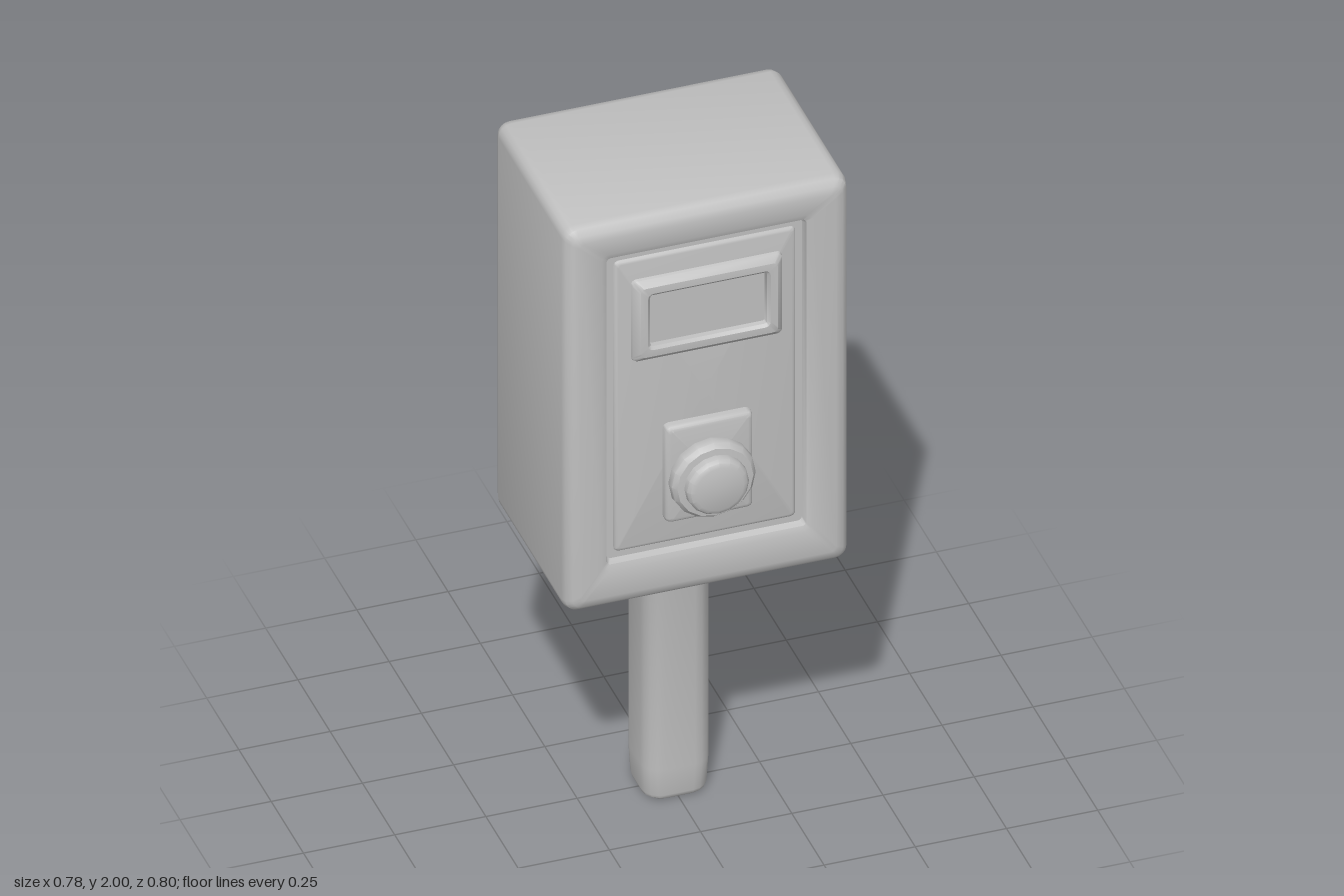
import * as THREE from 'three';
import { toCreasedNormals } from 'three/addons/utils/BufferGeometryUtils.js';

const CORNER = 4; // segments per rounded corner

// Rounded rectangle, counter-clockwise; ring = { hx, hy, r, z, cx, cy }
function ringPoints({ hx, hy, r, z, cx = 0, cy = 0 }) {
  const pts = [];
  const signs = [[1, 1], [-1, 1], [-1, -1], [1, -1]];
  signs.forEach(([sx, sy], q) => {
    for (let i = 0; i <= CORNER; i++) {
      const a = (q + i / CORNER) * Math.PI / 2;
      pts.push([cx + sx * (hx - r) + r * Math.cos(a), cy + sy * (hy - r) + r * Math.sin(a), z]);
    }
  });
  return pts;
}

// Closed skin through a list of rings, capped at both ends
function loft(rings) {
  const n = 4 * (CORNER + 1), pos = [], idx = [];
  rings.forEach(r => ringPoints(r).forEach(p => pos.push(...p)));
  const last = rings.length - 1, a = rings[0], b = rings[last];
  pos.push(a.cx ?? 0, a.cy ?? 0, a.z, b.cx ?? 0, b.cy ?? 0, b.z);
  const startCap = n * rings.length, endCap = startCap + 1;
  for (let i = 0; i < n; i++) {
    const j = (i + 1) % n;
    for (let k = 0; k < last; k++) {
      const o = k * n, p = o + n;
      idx.push(o + i, o + j, p + j, o + i, p + j, p + i);
    }
    idx.push(startCap, j, i, endCap, last * n + i, last * n + j);
  }
  const g = new THREE.BufferGeometry();
  g.setAttribute('position', new THREE.Float32BufferAttribute(pos, 3));
  g.setIndex(idx);
  return toCreasedNormals(g, 0.6);
}

// Rings of a rounded edge of size b; side -1 is the rear edge, +1 the front edge
function edge(ring, b, side) {
  const out = [];
  for (let i = 0; i <= 3; i++) {
    const a = (side < 0 ? 3 - i : i) / 3 * Math.PI / 2;
    const inset = b * (1 - Math.cos(a));
    out.push({
      ...ring, hx: ring.hx - inset, hy: ring.hy - inset,
      r: Math.max(ring.r - inset * 0.5, 0.004),
      z: ring.z - side * b * (1 - Math.sin(a)),
    });
  }
  return out;
}

export function createModel() {
  const model = new THREE.Group();
  const grey = new THREE.MeshStandardMaterial({ color: 0xc0c0c0 });
  grey.name = 'plain grey';
  const add = (name, geometry) => {
    const mesh = new THREE.Mesh(geometry, grey);
    mesh.name = name;
    model.add(mesh);
    return mesh;
  };

  // Housing with a shallow recess in the front
  const body = { hx: 0.39, hy: 0.6, r: 0.035, cy: 1.4 };
  const recess = { cx: -0.003, cy: 1.415, r: 0.012 };
  add('housing', loft([
    ...edge({ ...body, z: -0.255 }, 0.04, -1),
    ...edge({ ...body, z: 0.312 }, 0.04, 1),
    { ...recess, hx: 0.29, hy: 0.497, r: 0.02, z: 0.312 },
    { ...recess, hx: 0.274, hy: 0.48, z: 0.305 },
    { ...recess, hx: 0.268, hy: 0.474, z: 0.286 },
  ]));

  // Raised front panel inside the recess
  const panel = { cx: -0.003, cy: 1.415, hx: 0.25, hy: 0.455, r: 0.015 };
  add('frontPanel', loft([{ ...panel, z: 0.27 }, ...edge({ ...panel, z: 0.295 }, 0.012, 1)]));

  // Display window: raised frame with a sunken pane
  const frame = { cy: 1.678, r: 0.015 };
  add('displayFrame', loft([
    { ...frame, hx: 0.21, hy: 0.13, z: 0.285 },
    { ...frame, hx: 0.205, hy: 0.125, z: 0.303 },
    { ...frame, hx: 0.188, hy: 0.108, z: 0.319 },
    { ...frame, hx: 0.168, hy: 0.088, z: 0.319 },
    { ...frame, hx: 0.16, hy: 0.08, r: 0.006, z: 0.312 },
    { ...frame, hx: 0.158, hy: 0.078, r: 0.006, z: 0.299 },
  ]));

  // Mounting plate and stepped knob
  const plate = { cy: 1.187, hx: 0.12, hy: 0.15, r: 0.015 };
  add('knobPlate', loft([{ ...plate, z: 0.28 }, ...edge({ ...plate, z: 0.324 }, 0.015, 1)]));
  const profile = [
    [0.105, 0.3], [0.117, 0.333], [0.115, 0.352], [0.104, 0.365], [0.086, 0.367],
    [0.085, 0.385], [0.078, 0.395], [0.066, 0.4], [0, 0.4],
  ].map(([x, y]) => new THREE.Vector2(x, y));
  const knob = add('knob', toCreasedNormals(new THREE.LatheGeometry(profile, 16).rotateX(Math.PI / 2), 0.6));
  knob.position.y = 1.17;

  // Box on the rear, tapering slightly
  const rear = { hx: 0.265, hy: 0.465, r: 0.025, cy: 1.39 };
  add('rearBox', loft([
    ...edge({ ...rear, z: -0.4 }, 0.03, -1),
    { ...rear, hx: 0.272, hy: 0.47, z: -0.24 },
  ]));

  // Square post with rounded corners
  const shaft = { hx: 0.092, hy: 0.092, r: 0.05 };
  const post = loft([
    ...edge({ ...shaft, hx: 0.088, hy: 0.088, z: 0 }, 0.018, -1),
    { ...shaft, z: 0.1 },
    { ...shaft, z: 0.78 },
    { ...shaft, hx: 0.1, hy: 0.1, z: 0.81 },
  ]);
  add('post', post.rotateX(-Math.PI / 2));

  return model;
}
